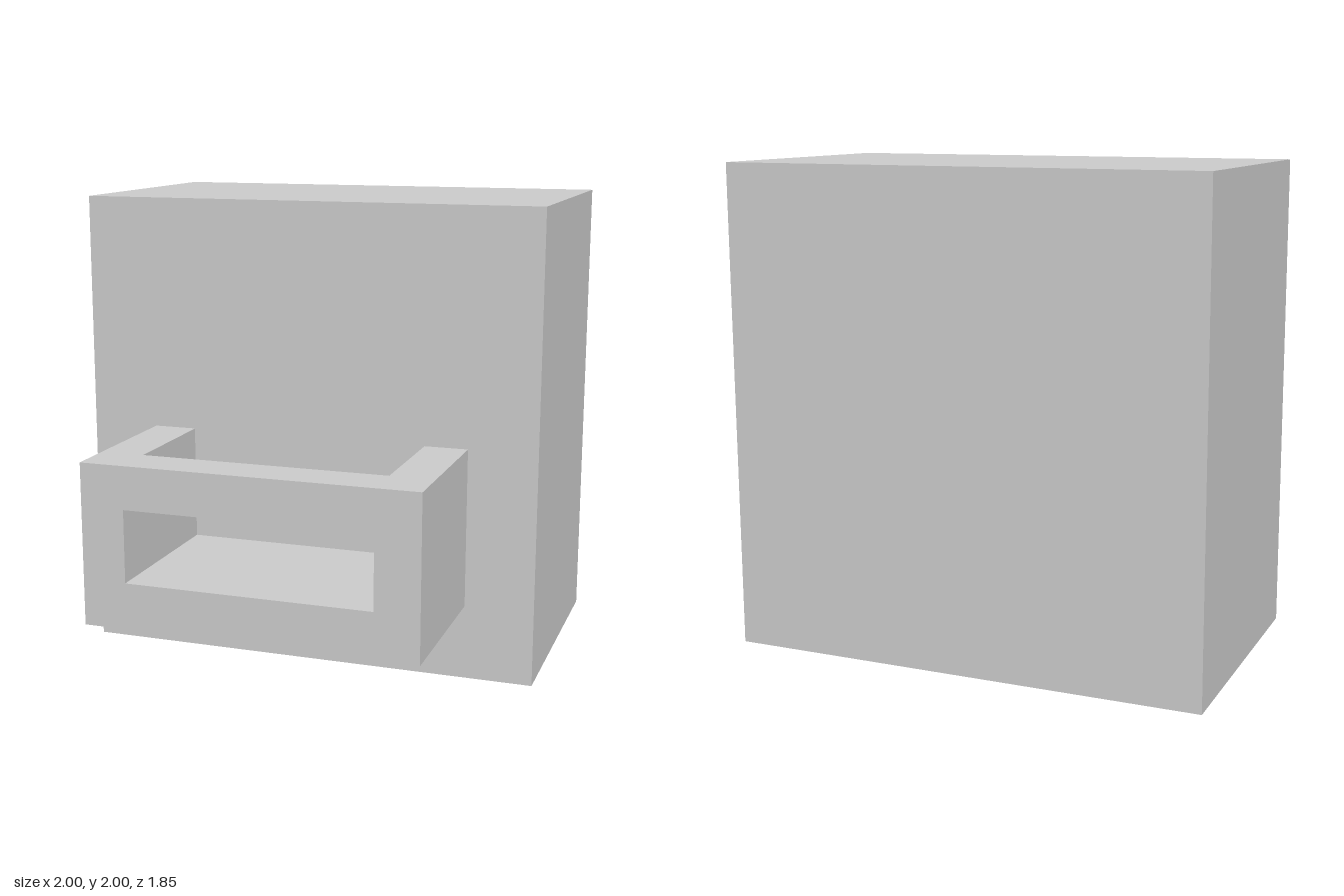
import * as THREE from 'three';

export function createModel() {
  const model = new THREE.Group();
  const material = new THREE.MeshStandardMaterial({ color: 0xcccccc, flatShading: true });

  // Adds a box given its extents along each axis
  const addBox = (parent, name, [x0, x1], [y0, y1], [z0, z1]) => {
    const mesh = new THREE.Mesh(new THREE.BoxGeometry(x1 - x0, y1 - y0, z1 - z0), material);
    mesh.position.set((x0 + x1) / 2, (y0 + y1) / 2, (z0 + z1) / 2);
    mesh.name = name;
    parent.add(mesh);
  };

  const back = -0.925, wall = 0.21, front = 0.925;
  const outer = 0.705, inner = 0.52;              // tray half widths
  const bottom = 0.32, floorTop = 0.515, top = 1; // tray heights

  // Main block
  addBox(model, 'body', [-1, 1], [0, 2], [back, wall]);

  // Open-topped tray with a window in its front
  const tray = new THREE.Group();
  tray.name = 'tray';
  addBox(tray, 'trayFloor', [-outer, outer], [bottom, floorTop], [wall, front]);
  addBox(tray, 'leftTrayWall', [inner, outer], [floorTop, top], [wall, front]);
  addBox(tray, 'rightTrayWall', [-outer, -inner], [floorTop, top], [wall, front]);
  addBox(tray, 'frontRail', [-inner, inner], [0.82, top], [0.73, front]);
  model.add(tray);

  return model;
}
